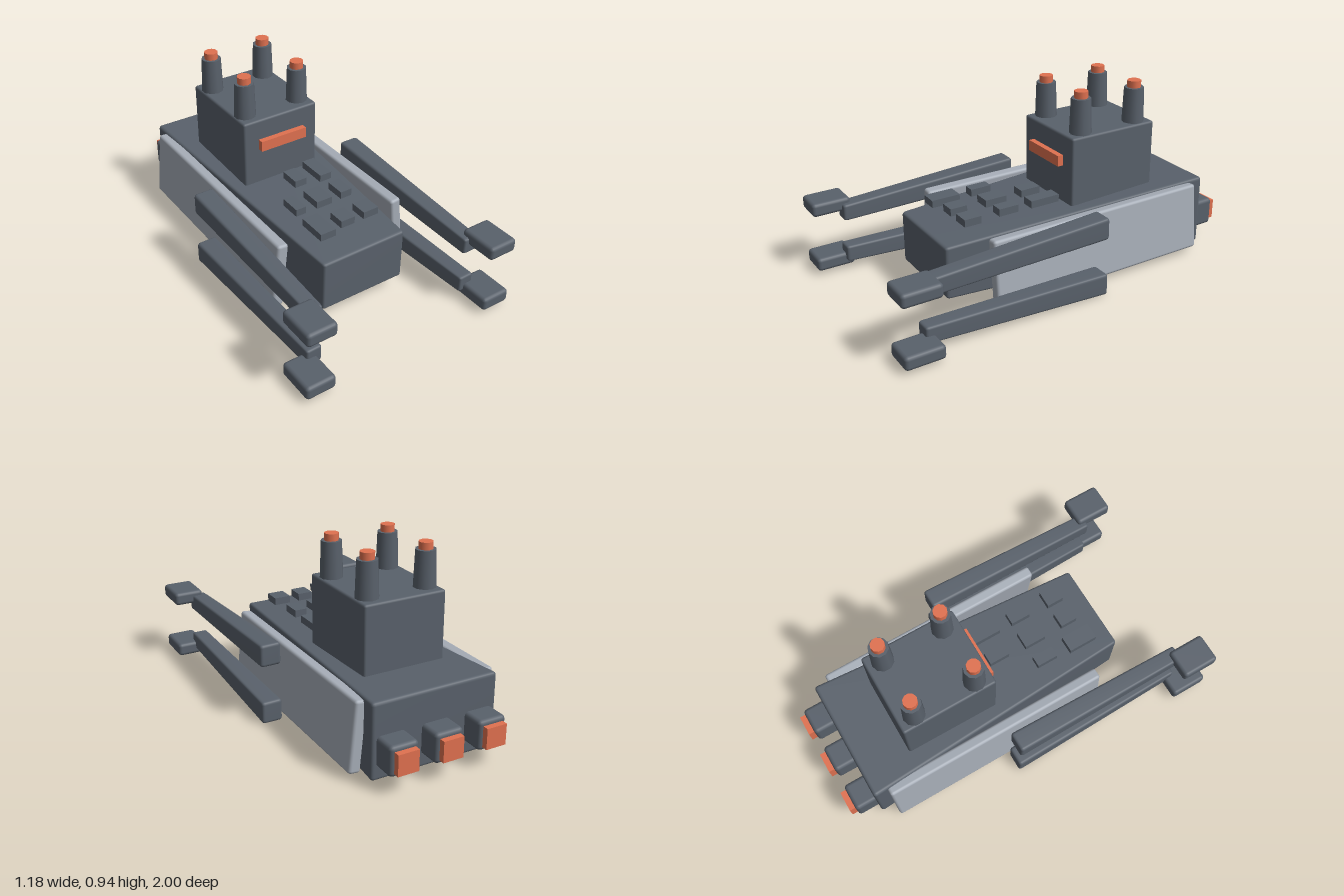
import * as THREE from 'three';
import { RoundedBoxGeometry } from 'three/addons/geometries/RoundedBoxGeometry.js';
import { mergeVertices } from 'three/addons/utils/BufferGeometryUtils.js';

export function createModel() {
  const model = new THREE.Group();
  const dark = new THREE.MeshStandardMaterial({ color: 0x59616b });
  const light = new THREE.MeshStandardMaterial({ color: 0xa6adb7 });
  const orange = new THREE.MeshStandardMaterial({ color: 0xe07150 });

  const add = (name, geometry, material, x = 0, y = 0, z = 0) => {
    const mesh = new THREE.Mesh(geometry, material);
    mesh.name = name;
    mesh.position.set(x, y, z);
    model.add(mesh);
    return mesh;
  };
  const rounded = (w, h, d, r) => new RoundedBoxGeometry(w, h, d, 2, r);

  // Rounded box whose section changes from back to front; each section is { x, y, w, h, z }
  const tapered = (back, front, r) => {
    const depth = front.z - back.z;
    let g = rounded(back.w, back.h, depth, r);
    g.deleteAttribute('normal');
    g.deleteAttribute('uv');
    g = mergeVertices(g, 1e-5);
    const p = g.attributes.position;
    const mix = THREE.MathUtils.lerp;
    for (let i = 0; i < p.count; i++) {
      const t = p.getZ(i) / depth + 0.5;
      p.setXYZ(i,
        mix(back.x, front.x, t) + p.getX(i) * mix(1, front.w / back.w, t),
        mix(back.y, front.y, t) + p.getY(i) * mix(1, front.h / back.h, t),
        mix(back.z, front.z, t));
    }
    g.computeVertexNormals();
    return g;
  };

  // Wedge-shaped hull
  add('hull', tapered(
    { x: 0, y: 0.216, w: 0.656, h: 0.378, z: -0.86 },
    { x: 0, y: 0.219, w: 0.47, h: 0.27, z: 0.615 }, 0.018), dark);

  // Turret with its glowing slit
  add('turret', rounded(0.43, 0.37, 0.5, 0.012), dark, 0, 0.55, -0.352);
  add('viewSlit', new THREE.BoxGeometry(0.264, 0.056, 0.05), orange, 0, 0.599, -0.097);

  // Four stacks on the turret
  for (const x of [-0.155, 0.152]) {
    for (const z of [-0.19, -0.515]) {
      add('stack', new THREE.CylinderGeometry(0.05, 0.057, 0.2, 10), dark, x, 0.815, z);
      add('stackTip', new THREE.CylinderGeometry(0.035, 0.035, 0.06, 10), orange, x, 0.92, z);
    }
  }

  // Three rear thrusters
  for (const x of [-0.23, 0, 0.23]) {
    add('thruster', rounded(0.146, 0.148, 0.13, 0.02), dark, x, 0.17, -0.905);
    add('thrusterGlow', new THREE.BoxGeometry(0.106, 0.104, 0.05), orange, x, 0.168, -0.975);
  }

  for (const side of [-1, 1]) {
    // Leaning side armour
    const panel = add('sidePanel', rounded(0.06, 0.35, 1.215, 0.015), light, side * 0.349, 0.215, -0.178);
    panel.rotation.z = side * 0.1;

    // Upper and lower arms converge toward the front, each ending in a pad
    for (const level of [-1, 1]) {
      add('arm', tapered(
        { x: side * 0.447, y: 0.217 + level * 0.151, w: 0.108, h: 0.115, z: -0.127 },
        { x: side * 0.447, y: 0.217 + level * 0.115, w: 0.082, h: 0.085, z: 0.85 }, 0.016), dark);
      add('armPad', rounded(0.156, 0.07, 0.198, 0.018), dark, side * 0.51, 0.217 + level * 0.152, 0.9);
    }
  }

  // Raised blocks along the deck: x, z, width, depth
  const blocks = [
    [0, 0.025, 0.068, 0.11], [0.135, 0.025, 0.068, 0.16],
    [-0.138, 0.23, 0.056, 0.112], [-0.002, 0.23, 0.088, 0.116], [0.132, 0.23, 0.064, 0.106],
    [-0.138, 0.435, 0.084, 0.152], [-0.002, 0.435, 0.078, 0.09], [0.134, 0.435, 0.086, 0.09],
  ];
  for (const [x, z, w, d] of blocks) {
    add('deckBlock', new THREE.BoxGeometry(w, 0.038, d), dark, x, 0.421, z);
  }
  return model;
}
